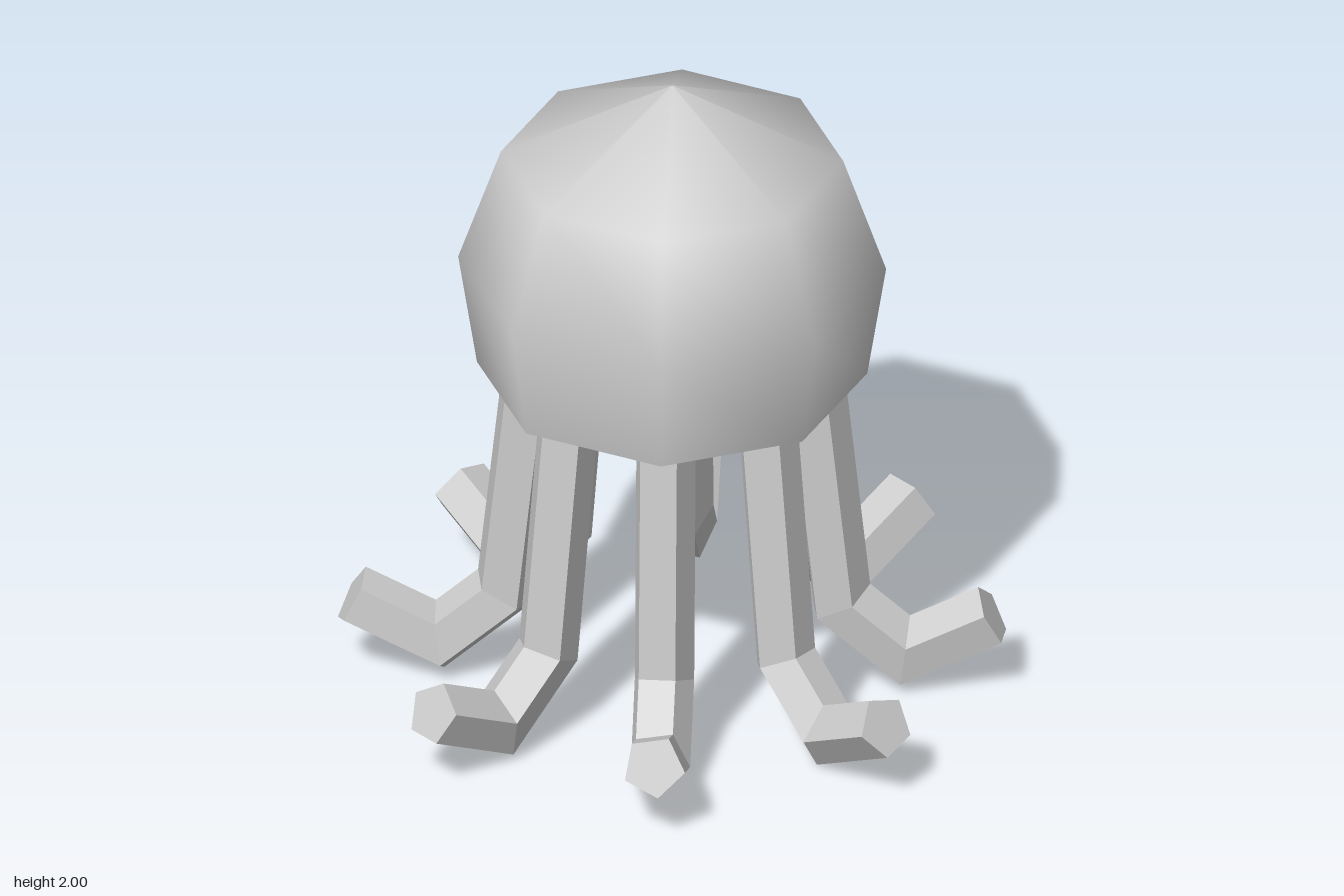
import * as THREE from 'three';

const V2 = (x, y) => new THREE.Vector2(x, y);

// Five-sided tube swept along a bent (radius, height) path, with mitred joints.
// The five corners keep a world heading, so one always points to +z at the root.
function tentacleGeometry(angle) {
  const path = [V2(0.395, 1.19), V2(0.49, 0.28), V2(0.68, 0.112), V2(0.935, 0.243)];
  const sides = 5, R = 0.093;
  const pos = [], idx = [];
  const outward = new THREE.Vector3(Math.sin(angle), 0, Math.cos(angle));
  const sideways = new THREE.Vector3(Math.cos(angle), 0, -Math.sin(angle));
  const last = path.length - 1;
  path.forEach((p, i) => {
    const before = path[i].clone().sub(path[Math.max(i - 1, 0)]).normalize();
    const after = path[Math.min(i + 1, last)].clone().sub(path[i]).normalize();
    const dir = before.clone().add(after).normalize();
    const stretch = 1 / Math.max(dir.dot(i === 0 ? after : before), 0.5);
    for (let k = 0; k < sides; k++) {
      const a = (k / sides) * Math.PI * 2 - angle;
      const across = R * Math.cos(a) * stretch;
      const v = outward.clone().multiplyScalar(p.x - dir.y * across)
        .addScaledVector(sideways, R * Math.sin(a));
      pos.push(v.x, p.y + dir.x * across, v.z);
    }
  });
  // side walls
  for (let i = 0; i < last; i++) {
    for (let k = 0; k < sides; k++) {
      const a = i * sides + k, b = i * sides + ((k + 1) % sides);
      idx.push(a, a + sides, b, b, a + sides, b + sides);
    }
  }
  // end caps
  const tip = last * sides;
  for (let k = 1; k < sides - 1; k++) {
    idx.push(0, k, k + 1, tip, tip + k + 1, tip + k);
  }
  const g = new THREE.BufferGeometry();
  g.setAttribute('position', new THREE.Float32BufferAttribute(pos, 3));
  g.setIndex(idx);
  g.computeVertexNormals();
  return g;
}

export function createModel() {
  const model = new THREE.Group();
  model.name = 'jellyfish';
  const smooth = new THREE.MeshStandardMaterial({ color: 0xcccccc });
  const flat = new THREE.MeshStandardMaterial({ color: 0xcccccc, flatShading: true });

  // rounded eight-sided bell
  const bell = new THREE.Mesh(new THREE.LatheGeometry(
    [V2(0.57, 1.045), V2(0.625, 1.4), V2(0.5, 1.76), V2(0, 2)], 8), smooth);
  bell.name = 'bell';
  model.add(bell);

  // underside: rim and shallow recess
  const underside = new THREE.Mesh(new THREE.LatheGeometry(
    [V2(0, 1.15), V2(0.51, 1.15), V2(0.51, 1.04), V2(0.57, 1.045)], 8), flat);
  underside.name = 'underside';
  model.add(underside);

  // ring of eight tentacles
  for (let i = 0; i < 8; i++) {
    const t = new THREE.Mesh(tentacleGeometry((i * Math.PI) / 4), flat);
    t.name = `tentacle${i + 1}`;
    model.add(t);
  }
  return model;
}
